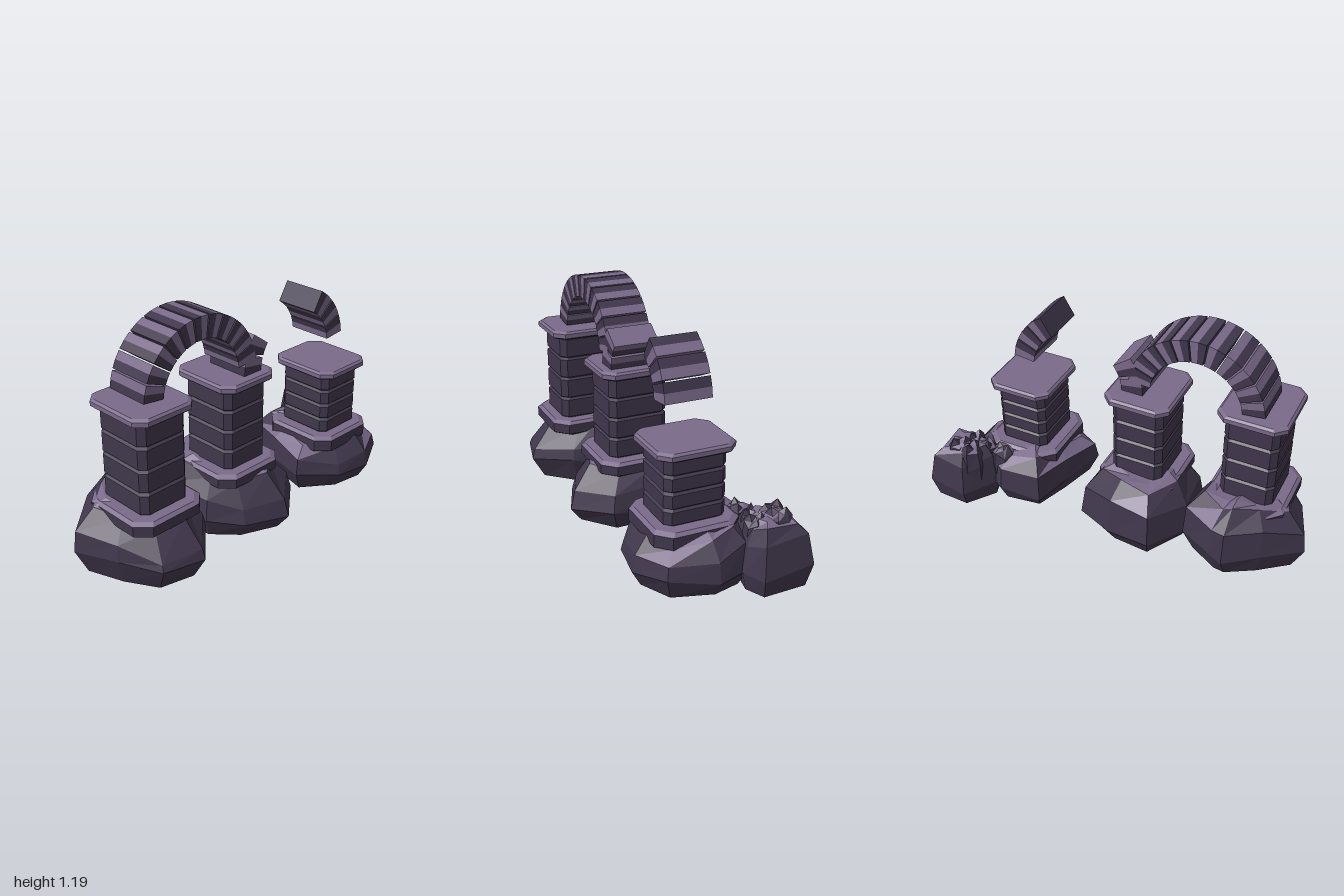
import * as THREE from 'three';

const light = new THREE.MeshStandardMaterial({ color: 0x7a6a8a });
light.name = 'pale stone';
const dark = new THREE.MeshStandardMaterial({ color: 0x40374c });
dark.name = 'dark stone';

// Closed flat-faced solid from rings of [x, y, z], counterclockwise from above.
// Faces whose normal points up more than paleFrom get the pale material.
function loft(name, rings, paleFrom) {
  const n = rings[0].length;
  const pos = [];
  const tri = (a, b, c) => pos.push(...a, ...b, ...c);
  const mid = (r) => [0, 1, 2].map((k) => r.reduce((s, p) => s + p[k], 0) / n);
  const low = rings[0], top = rings[rings.length - 1];
  for (let i = 0; i < n; i++) {
    const j = (i + 1) % n;
    for (let r = 0; r + 1 < rings.length; r++) {
      tri(rings[r][i], rings[r][j], rings[r + 1][j]);
      tri(rings[r][i], rings[r + 1][j], rings[r + 1][i]);
    }
    tri(mid(top), top[i], top[j]);
    tri(mid(low), low[j], low[i]);
  }
  const geo = new THREE.BufferGeometry();
  geo.setAttribute('position', new THREE.Float32BufferAttribute(pos, 3));
  geo.computeVertexNormals();
  const normal = geo.attributes.normal;
  for (let v = 0; v < normal.count; v += 3) geo.addGroup(v, 3, normal.getY(v) > paleFrom ? 0 : 1);
  const mesh = new THREE.Mesh(geo, [light, dark]);
  mesh.name = name;
  return mesh;
}

// Rectangle with cut corners
function cutRect(cx, cz, w, d, cut, y) {
  const a = w / 2, b = d / 2;
  return [
    [a, b - cut], [a, -b + cut], [a - cut, -b], [-a + cut, -b],
    [-a, -b + cut], [-a, b - cut], [-a + cut, b], [a - cut, b],
  ].map(([x, z]) => [cx + x, y, cz + z]);
}

// Block with bevelled top and bottom edges
function block(name, cx, cz, w, d, cut, y0, y1, inset, bevel, paleFrom) {
  return loft(name, [
    cutRect(cx, cz, w - inset * 2, d - inset * 2, cut, y0),
    cutRect(cx, cz, w, d, cut, y0 + bevel),
    cutRect(cx, cz, w, d, cut, y1 - bevel),
    cutRect(cx, cz, w - inset * 2, d - inset * 2, cut, y1),
  ], paleFrom);
}

function pillar(name, x, z, base0, base1, cap0, cap1) {
  const g = new THREE.Group();
  g.name = name;
  g.add(block('pillarBase', x, z, 0.405, 0.43, 0.065, base0, base1, 0.018, 0.014, 0.3));
  const h = (cap0 - base1) / 4;
  for (let i = 0; i < 4; i++) {
    g.add(block('shaftBlock', x, z, 0.272, 0.31, 0.03, base1 + i * h, base1 + (i + 1) * h, 0.012, 0.01, 2));
  }
  g.add(block('pillarCap', x, z, 0.345, 0.39, 0.05, cap0, cap1, 0.012, 0.01, -0.1));
  return g;
}

// Arch stone: a wedge with one pale and one dark half
function archStone(cx, cy, angle, half) {
  const g = new THREE.Group();
  g.name = 'archStone';
  const rad = Math.PI / 180;
  [[angle - half, angle, light], [angle, angle + half, dark]].forEach(([a, b, material]) => {
    const at = (r, t) => new THREE.Vector2(cx + r * Math.cos(t * rad), cy + r * Math.sin(t * rad));
    const shape = new THREE.Shape([at(0.235, a), at(0.348, a), at(0.348, b), at(0.235, b)]);
    const geo = new THREE.ExtrudeGeometry(shape, { depth: 0.236, bevelEnabled: false });
    const mesh = new THREE.Mesh(geo, material);
    mesh.name = 'archStoneHalf';
    mesh.position.z = -0.07;
    g.add(mesh);
  });
  return g;
}

// Boulder: a clockwise [x, z] outline scaled by a profile of [scale, y], higher toward the back
function boulder(name, outline, profile, tilt) {
  const pts = outline.slice().reverse();
  const cx = pts.reduce((s, p) => s + p[0], 0) / pts.length;
  const cz = pts.reduce((s, p) => s + p[1], 0) / pts.length;
  const rings = profile.map(([s, y], r) => pts.map(([x, z], i) => {
    const wobble = r === 0 ? 0 : Math.sin(i * 2.3 + r * 1.1);
    const pz = cz + (z - cz) * s;
    const lift = r < 2 ? 0 : -tilt * (pz - cz);
    return [cx + (x - cx) * s, y + wobble * 0.018 + lift, pz];
  }));
  return loft(name, rings, 0.72);
}

// Small lump with a rounded outline
function lump(cx, cz, radius, y0, y1) {
  const outline = [];
  for (let i = 0; i < 7; i++) {
    const t = (i / 7) * Math.PI * 2 + cx * 9;
    outline.push([cx + radius * Math.cos(t), cz + radius * Math.sin(t)]);
  }
  return boulder('rockLump', outline, [[0.9, y0], [1, (y0 + y1) / 2], [0.85, y1 - 0.035], [0.45, y1]], 0.1);
}

export function createModel() {
  const model = new THREE.Group();
  model.name = 'ruinedArches';

  // Pillars
  model.add(pillar('rightPillar', -0.67, 0.075, 0.278, 0.357, 0.82, 0.863));
  model.add(pillar('middlePillar', -0.103, 0.027, 0.262, 0.338, 0.765, 0.808));
  model.add(pillar('leftPillar', 0.58, 0.055, 0.208, 0.297, 0.625, 0.667));

  // Whole arch, then the two ends of the broken one
  for (let i = -5; i <= 5; i++) model.add(archStone(-0.383, 0.842, 90 + i * 15.4, 7));
  [171, 152].forEach((a) => model.add(archStone(0.235, 0.8, a, 8)));
  [14.5, 32.5, 50.5].forEach((a) => model.add(archStone(0.258, 0.8, a, 8.2)));

  // Boulders under the pillars
  model.add(boulder('rightBoulder', [
    [-1.0, -0.06], [-0.82, -0.2], [-0.65, -0.3], [-0.58, -0.29], [-0.4, -0.19], [-0.39, 0.08],
    [-0.43, 0.22], [-0.6, 0.4], [-0.81, 0.35], [-0.92, 0.16],
  ], [[0.82, 0], [1, 0.13], [0.96, 0.24], [0.68, 0.345], [0.5, 0.36]], 0.2));
  model.add(boulder('middleBoulder', [
    [-0.4, -0.11], [-0.27, -0.34], [-0.04, -0.32], [0.16, -0.23], [0.17, 0.23],
    [-0.02, 0.39], [-0.24, 0.3], [-0.37, 0.16],
  ], [[0.84, 0], [1, 0.09], [0.93, 0.22], [0.68, 0.32], [0.5, 0.335]], 0.15));
  model.add(boulder('leftBoulder', [
    [0.33, -0.05], [0.4, -0.26], [0.62, -0.29], [0.87, -0.13], [0.91, 0.03],
    [0.84, 0.26], [0.66, 0.35], [0.46, 0.32], [0.27, 0.18],
  ], [[0.85, 0], [1, 0.09], [0.95, 0.19], [0.74, 0.255], [0.5, 0.275]], 0.12));

  // Craggy outcrop behind the left pillar
  model.add(boulder('outcrop', [
    [0.66, -0.24], [0.78, -0.41], [0.99, -0.4], [1.0, -0.14], [0.89, -0.09], [0.7, -0.13],
  ], [[0.85, 0], [1, 0.1], [0.85, 0.25], [0.62, 0.31], [0.35, 0.325]], 0.1));
  [[0.65, -0.19, 0.07, 0.31], [0.74, -0.2, 0.06, 0.32], [0.79, -0.29, 0.08, 0.345],
    [0.86, -0.28, 0.075, 0.35], [0.83, -0.18, 0.06, 0.33]]
    .forEach(([x, z, r, y]) => model.add(lump(x, z, r, 0.1, y)));

  return model;
}
